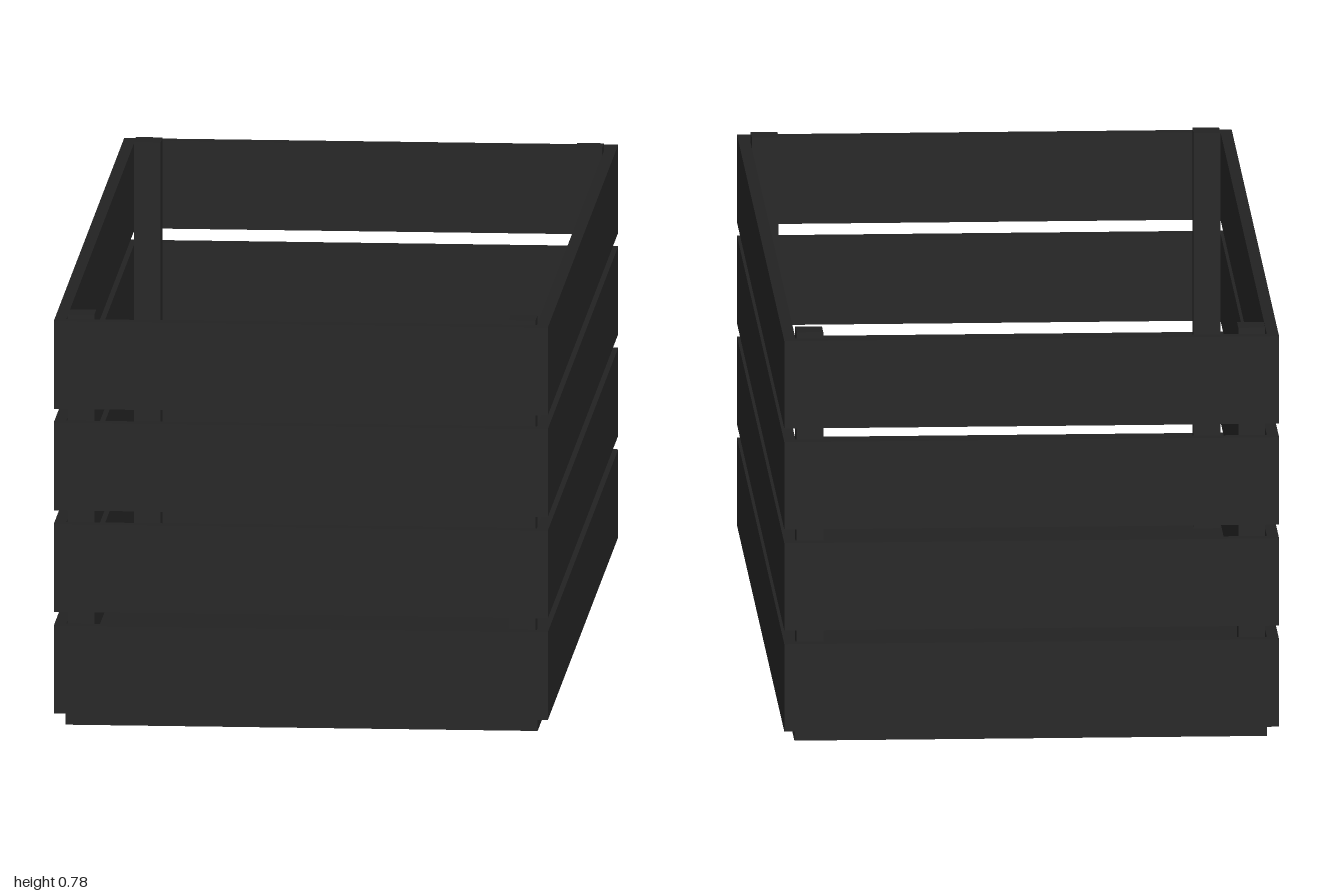
import * as THREE from 'three';

export function createModel() {
  const crate = new THREE.Group();
  crate.name = 'slattedCrate';
  const material = new THREE.MeshStandardMaterial({ color: 0x222222 });

  const L = 1.835, W = 0.925, T = 0.022; // outer length, outer width, board thickness
  const slatHeight = 0.167, slatPitch = 0.193, baseY = 0.025;

  // Box given by its size, centre in plan and bottom height
  function board(name, sx, sy, sz, x, y, z) {
    const mesh = new THREE.Mesh(new THREE.BoxGeometry(sx, sy, sz), material);
    mesh.name = name;
    mesh.position.set(x, y + sy / 2, z);
    crate.add(mesh);
  }

  // Floor panel, stopping just short of one end
  board('floor', 1.779, baseY, 0.884, -0.0075, 0, 0);

  // Four rows of slats around the crate
  for (let row = 0; row < 4; row++) {
    const y = baseY + row * slatPitch;
    for (const s of [-1, 1]) {
      board('sideSlat', L, slatHeight, T, 0, y, s * (W - T) / 2);
      board('endSlat', T, slatHeight, W - 2 * T, s * (L - T) / 2, y, 0);
    }
  }

  // Inner corner posts, rising slightly above the slats
  for (const x of [-0.871, 0.857]) {
    for (const s of [-1, 1]) board('cornerPost', 0.05, 0.755, 0.05, x, baseY, s * 0.413);
  }

  // The crate stands turned on the ground
  crate.rotation.y = THREE.MathUtils.degToRad(40);
  const model = new THREE.Group();
  model.name = 'crate';
  model.add(crate);
  return model;
}
